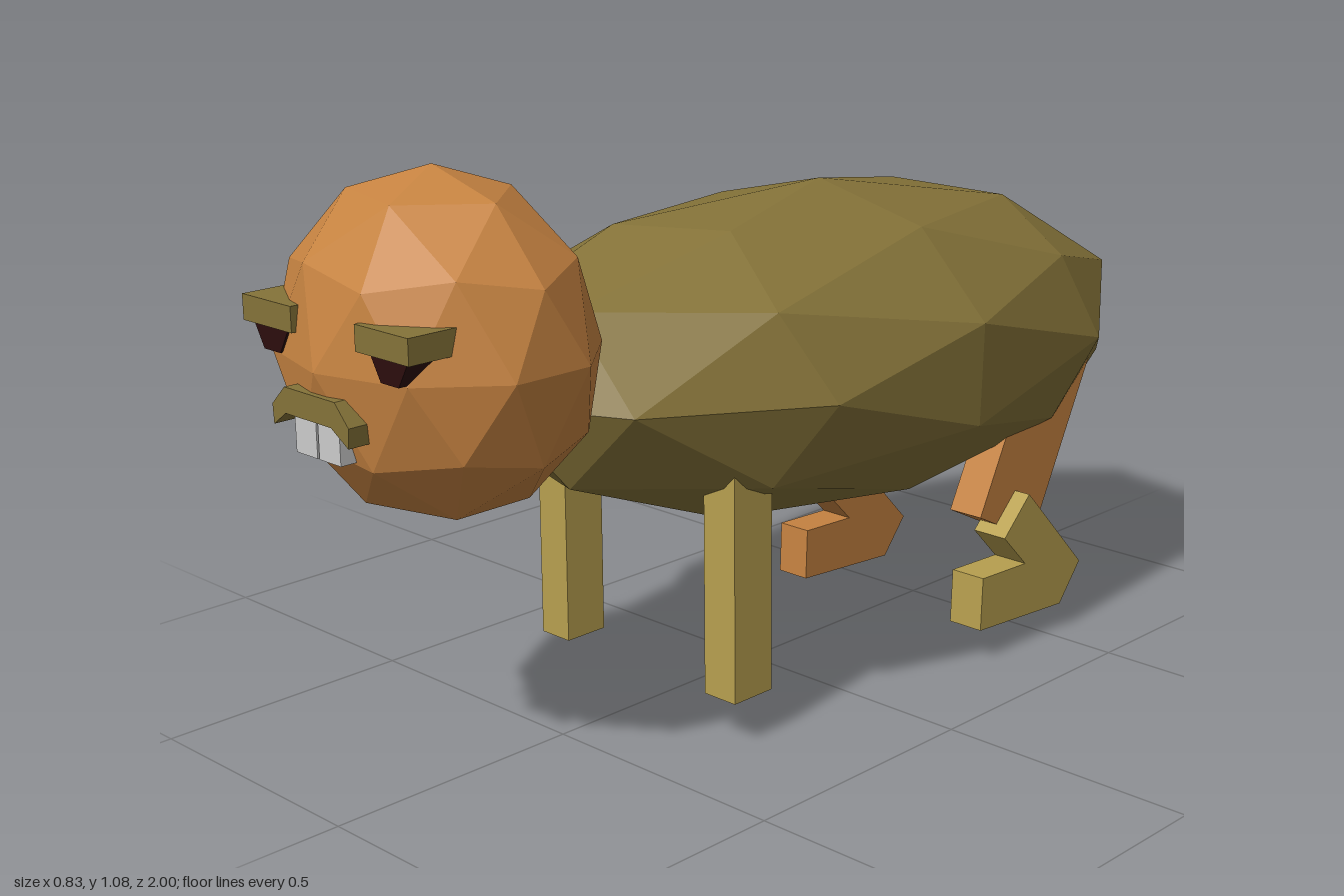
import * as THREE from 'three';

const mat = (color) => new THREE.MeshStandardMaterial({ color, flatShading: true });
const olive = mat(0x857339), orange = mat(0xc68341), straw = mat(0xb8a04f);
const dark = mat(0x2c0d0d), white = mat(0xcccccc);

function part(parent, name, geometry, material) {
  const mesh = new THREE.Mesh(geometry, material);
  mesh.name = name;
  parent.add(mesh);
  return mesh;
}

// Box given by its lower and upper limits on each axis
function block([x0, x1], [y0, y1], [z0, z1]) {
  return new THREE.BoxGeometry(x1 - x0, y1 - y0, z1 - z0)
    .translate((x0 + x1) / 2, (y0 + y1) / 2, (z0 + z1) / 2);
}

// Outline pushed forward along z between two limits
function slab(points, z0, z1) {
  const shape = new THREE.Shape(points.map(([x, y]) => new THREE.Vector2(x, y)));
  return new THREE.ExtrudeGeometry(shape, { depth: z1 - z0, bevelEnabled: false }).translate(0, 0, z0);
}

// Side outline of [z, y] points with its thickness across x
function sideSlab(points, x0, x1) {
  return slab(points, -x1, -x0).rotateY(-Math.PI / 2);
}

// Faceted ball with a vertex at each y pole
function facetedBall() {
  return new THREE.IcosahedronGeometry(1, 1).rotateZ(-Math.atan(2 / (1 + Math.sqrt(5))));
}

// Front leg, thigh and bent foot of one side
function legs(side, footMaterial) {
  const group = new THREE.Group();
  group.name = side + 'Legs';
  part(group, side + 'FrontLeg', block([0.195, 0.27], [0.093, 0.55], [0.235, 0.33]), straw);
  part(group, side + 'Thigh', sideSlab(
    [[-0.32, 0.29], [-0.49, 0.205], [-0.67, 0.56], [-0.5, 0.645]], 0.235, 0.31), orange);
  part(group, side + 'HindFoot', sideSlab(
    [[-0.288, 0.182], [-0.284, 0.075], [-0.547, 0.058], [-0.61, 0.134],
      [-0.43, 0.32], [-0.354, 0.247], [-0.424, 0.177]], 0.27, 0.345), footMaterial);
  return group;
}

export function createModel() {
  const model = new THREE.Group();
  model.name = 'animal';

  // Long body, tail end slightly lowered
  const body = facetedBall().rotateX(Math.PI / 2).scale(0.436, 0.3125, 0.825);
  part(model, 'body', body.rotateX(-0.04).translate(0, 0.6275, -0.175), olive);

  // Head
  const head = new THREE.Group();
  head.name = 'head';
  model.add(head);
  part(head, 'skull', facetedBall().scale(0.3, 0.3, 0.25).translate(0, 0.787, 0.75), orange);

  // Brows and half-hidden eyes
  for (const [side, s] of [['left', 1], ['right', -1]]) {
    const brow = [s * 0.083, s * 0.215].sort((a, b) => a - b);
    part(head, side + 'Brow', block(brow, [0.833, 0.877], [0.88, 0.978]), olive);
    part(head, side + 'Eye', slab([[-0.048, 0.835], [-0.022, 0.79], [0.022, 0.79], [0.048, 0.835]]
      .map(([x, y]) => [s * 0.153 + x, y]), 0.88, 0.968), dark);
  }

  // Moustache and two front teeth
  part(head, 'moustache', slab([[-0.115, 0.716], [-0.08, 0.75], [0.052, 0.75], [0.086, 0.714],
    [0.083, 0.68], [0.04, 0.706], [-0.08, 0.706], [-0.113, 0.682]], 0.9, 1.0), olive);
  part(head, 'rightTooth', block([-0.074, -0.018], [0.64, 0.708], [0.9, 0.987]), white);
  part(head, 'leftTooth', block([-0.013, 0.043], [0.64, 0.708], [0.9, 0.987]), white);

  // Legs, the right set standing lower and further back
  model.add(legs('left', straw));
  const rightLegs = legs('right', orange);
  rightLegs.position.set(-0.53, -0.05, -0.08);
  model.add(rightLegs);

  return model;
}
